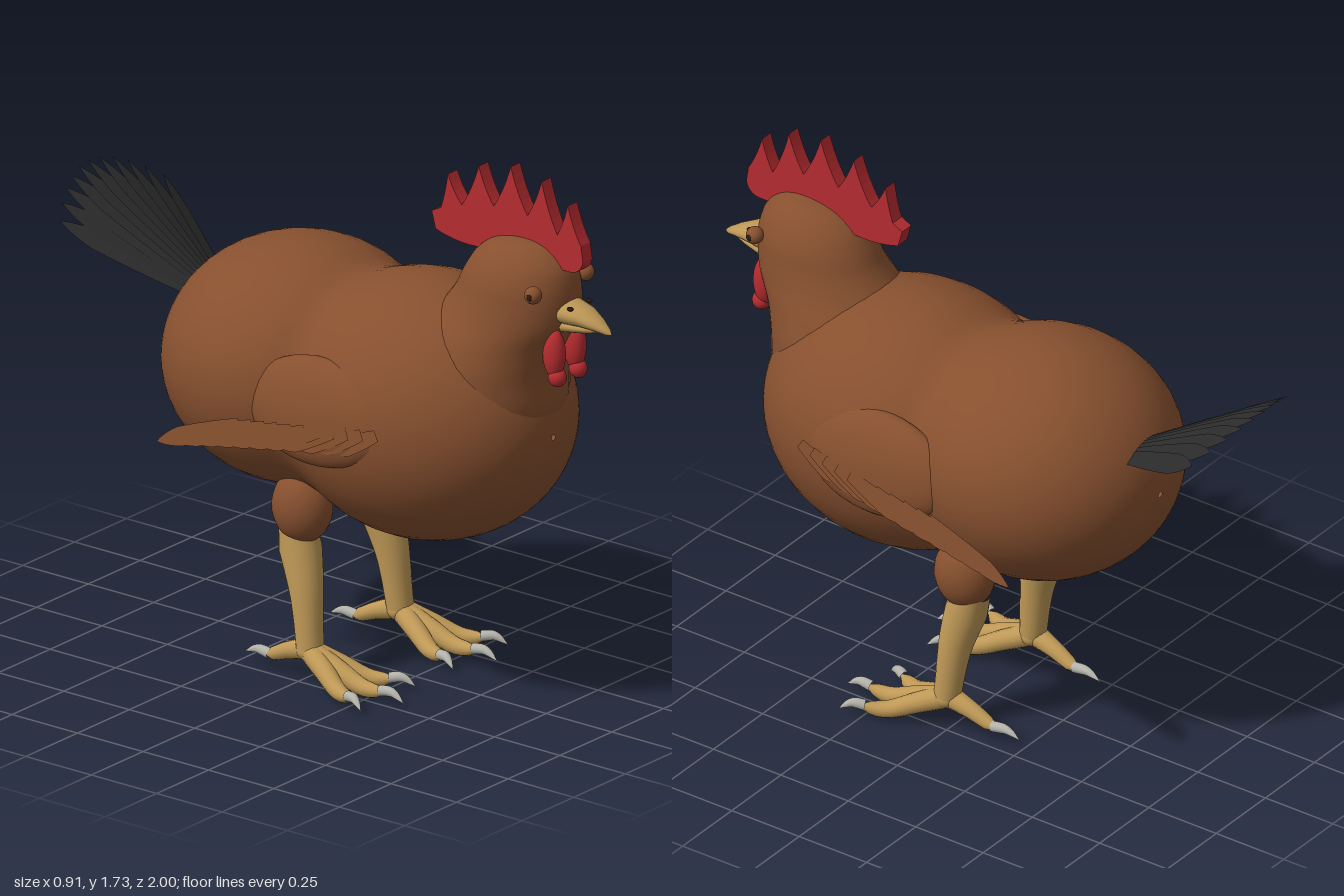
import * as THREE from 'three';

const V = (x, y, z) => new THREE.Vector3(x, y, z);
const material = (name, color, side = THREE.FrontSide) => {
  const m = new THREE.MeshStandardMaterial({ color, side });
  m.name = name;
  return m;
};

// Skin over a list of rings, each a list of Vector3 running round the section
function loft(rings) {
  const n = rings[0].length, index = [];
  for (let i = 0; i < rings.length - 1; i++)
    for (let j = 0; j < n; j++) {
      const a = i * n + j, b = i * n + (j + 1) % n;
      index.push(a, b, a + n, b, b + n, a + n);
    }
  const g = new THREE.BufferGeometry().setFromPoints(rings.flat());
  g.setIndex(index);
  g.computeVertexNormals();
  return g;
}
const angles = (n) => Array.from({ length: n }, (_, j) => (j / n) * Math.PI * 2);
// Section facing z: bottom, top, half width
const ringZ = (z, lo, hi, w, n = 48) => angles(n).map((a) =>
  V(w * Math.cos(a), (lo + hi) / 2 + (hi - lo) / 2 * Math.sin(a), z));
// Section facing y: back, front, half width
const ringY = (y, back, front, w, n = 40) => angles(n).map((a) =>
  V(w * Math.cos(a), y, (back + front) / 2 + (front - back) / 2 * Math.sin(a)));

// Tube along a curve whose radius follows a list of values
function taper(points, radii, seg = 14, sides = 14) {
  const curve = new THREE.CatmullRomCurve3(points);
  const g = new THREE.TubeGeometry(curve, seg, 1, sides);
  const p = g.attributes.position, nor = g.attributes.normal;
  for (let i = 0; i < p.count; i++) {
    const t = Math.floor(i / (sides + 1)) / seg, c = curve.getPointAt(t);
    const f = t * (radii.length - 1), k = Math.min(Math.floor(f), radii.length - 2);
    const r = THREE.MathUtils.lerp(radii[k], radii[k + 1], f - k);
    p.setXYZ(i, c.x + nor.getX(i) * r, c.y + nor.getY(i) * r, c.z + nor.getZ(i) * r);
  }
  return g;
}

// Flat pointed feather from root to tip
function feather(root, tip, width, facing) {
  const s = new THREE.Shape();
  s.moveTo(-0.3, 0);
  s.quadraticCurveTo(-0.5, 0.4, -0.5, 0.72);
  s.quadraticCurveTo(-0.35, 0.9, 0, 1);
  s.quadraticCurveTo(0.35, 0.9, 0.5, 0.72);
  s.quadraticCurveTo(0.5, 0.4, 0.3, 0);
  const dir = tip.clone().sub(root), len = dir.length();
  dir.normalize();
  const x = dir.clone().cross(facing).normalize(), z = x.clone().cross(dir);
  const g = new THREE.ShapeGeometry(s, 5);
  g.scale(width, len, 1);
  g.applyMatrix4(new THREE.Matrix4().makeBasis(x, dir, z).setPosition(root));
  return g;
}

export function createModel() {
  const brown = material('brown plumage', 0x87502f, THREE.DoubleSide);
  const black = material('black tail', 0x2b2b2b, THREE.DoubleSide);
  const red = material('red comb', 0xb62c30);
  const tan = material('tan beak and legs', 0xbe9856);
  const grey = material('grey claw', 0xb2b2aa);
  const dark = material('dark nostril', 0x2a1a12);

  const model = new THREE.Group();
  model.name = 'rooster';
  const add = (name, geo, mat, parent = model) => {
    const m = new THREE.Mesh(geo, mat);
    m.name = name;
    parent.add(m);
    return m;
  };
  const ball = (name, mat, pos, size, parent) => {
    const m = add(name, new THREE.SphereGeometry(1, 28, 20), mat, parent);
    m.position.copy(pos);
    m.scale.copy(size);
    return m;
  };

  // Body: breast and rump blended into one skin
  const smax = (a, b, k = 0.05) => {
    const h = Math.max(k - Math.abs(a - b), 0) / k;
    return Math.max(a, b) + h * h * k / 4;
  };
  const lobes = [{ z: 0.3, y: 0.9, rx: 0.41, ry: 0.412, rz: 0.477 },
    { z: -0.18, y: 0.935, rx: 0.42, ry: 0.38, rz: 0.43 }];
  const rings = [];
  for (let i = 0; i <= 60; i++) {
    const z = 0.0835 - 0.6934 * Math.cos((i / 60) * Math.PI);
    const val = (f) => smax(...lobes.map((l) => {
      const q = 1 - ((z - l.z) / l.rz) ** 2;
      return q < 0 ? -9 : f(l, Math.sqrt(q));
    }));
    rings.push(ringZ(z, -val((l, s) => l.ry * s - l.y), val((l, s) => l.y + l.ry * s), val((l, s) => l.rx * s)));
  }
  add('body', loft(rings), brown);

  // Neck and head, from the crown down
  const rows = [[1.528, 0.685, 0.695, 0.005], [1.52, 0.62, 0.745, 0.055], [1.5, 0.56, 0.79, 0.09],
    [1.457, 0.505, 0.833, 0.125], [1.4, 0.468, 0.85, 0.15], [1.34, 0.438, 0.852, 0.162],
    [1.27, 0.385, 0.84, 0.18], [1.19, 0.32, 0.802, 0.21], [1.1, 0.3, 0.779, 0.235],
    [0.98, 0.3, 0.772, 0.23], [0.85, 0.35, 0.7, 0.15]];
  const back = new THREE.CatmullRomCurve3(rows.map((r) => V(r[0], r[1], 0)));
  const front = new THREE.CatmullRomCurve3(rows.map((r) => V(r[0], r[2], r[3])));
  const neck = [];
  for (let i = 0; i <= 40; i++) {
    const b = back.getPoint(i / 40), f = front.getPoint(i / 40);
    neck.push(ringY((b.x + f.x) / 2, b.y, f.y, f.z));
  }
  add('neckAndHead', loft(neck), brown);

  // Comb: five-pointed plate, drawn as (z, y)
  const comb = new THREE.Shape();
  comb.moveTo(0.86, 1.457);
  comb.quadraticCurveTo(0.9, 1.46, 0.908, 1.5);
  comb.lineTo(0.9, 1.55);
  const points = [[0.85, 1.668, 0.81, 1.565], [0.75, 1.722, 0.696, 1.6], [0.632, 1.742, 0.567, 1.6],
    [0.51, 1.715, 0.445, 1.575], [0.392, 1.662, 0.365, 1.548]];
  let from = [0.9, 1.55];
  for (const [tz, ty, vz, vy] of points) {
    comb.quadraticCurveTo(from[0] * 0.4 + tz * 0.6, from[1] * 0.6 + ty * 0.4, tz, ty);
    comb.quadraticCurveTo(vz * 0.4 + tz * 0.6, vy * 0.6 + ty * 0.4, vz, vy);
    from = [vz, vy];
  }
  comb.lineTo(0.33, 1.53);
  comb.lineTo(0.345, 1.475);
  comb.quadraticCurveTo(0.42, 1.45, 0.5, 1.455);
  const combGeo = new THREE.ExtrudeGeometry(comb, { depth: 0.046, bevelEnabled: false, curveSegments: 6 });
  combGeo.translate(0, 0, -0.023);
  combGeo.rotateY(-Math.PI / 2);
  add('comb', combGeo, red);

  // Beak halves
  const beak = (r) => loft(r.map((q) => ringZ(...q, 20)));
  add('upperBeak', beak([[0.8, 1.285, 1.365, 0.058], [0.85, 1.285, 1.362, 0.061], [0.9, 1.288, 1.348, 0.051],
    [0.95, 1.284, 1.322, 0.032], [0.985, 1.277, 1.299, 0.014], [1, 1.28, 1.284, 0.001]]), tan);
  add('lowerBeak', beak([[0.8, 1.25, 1.31, 0.045], [0.855, 1.26, 1.305, 0.045], [0.91, 1.268, 1.3, 0.03],
    [0.96, 1.28, 1.295, 0.012], [0.97, 1.288, 1.29, 0.001]]), tan);

  // Tail: arched fan
  const tail = new THREE.Group();
  tail.name = 'tail';
  model.add(tail);
  for (let i = 0; i < 11; i++) {
    const u = i / 5 - 1;
    add('tailFeather', feather(V(u * 0.075, 1.1 - 0.02 * u * u, -0.545),
      V(u * 0.25, 1.37 - 0.1 * u * u, -1 + 0.09 * u * u), 0.075, V(u * 0.4 + 0.12, 0.85, 0.5)), black, tail);
  }

  for (const s of [1, -1]) {
    const side = new THREE.Group();
    side.name = s > 0 ? 'leftSide' : 'rightSide';
    model.add(side);

    // Face details
    ball('eye', brown, V(s * 0.127, 1.4, 0.8), V(0.027, 0.027, 0.027), side);
    ball('pupil', dark, V(s * 0.152, 1.4, 0.804), V(0.004, 0.01, 0.01), side);
    ball('nostril', dark, V(s * 0.046, 1.35, 0.878), V(0.008, 0.007, 0.01), side);
    ball('wattle', red, V(s * 0.05, 1.195, 0.82), V(0.031, 0.08, 0.037), side);
    ball('wattleTip', red, V(s * 0.05, 1.122, 0.832), V(0.027, 0.03, 0.029), side);

    // Wing: shoulder pad and overlapping flight feathers
    ball('wing', brown, V(s * 0.365, 0.95, 0.17), V(0.065, 0.165, 0.265), side).rotation.z = s * 0.2;
    for (let i = 0; i < 11; i++) {
      const t = i / 10, x = 0.412 + 0.03 * Math.sin(Math.min(1, t * 1.6) * Math.PI / 2);
      add('wingFeather', feather(V(s * x, 0.945 - 0.07 * t, 0.425 - 0.5 * t),
        V(s * (x + 0.012), 0.862 - 0.06 * t - 0.052 * t * t, 0.27 - 0.65 * t), 0.06, V(s, 0.15, 0.06)), brown, side);
    }

    // Leg
    ball('thigh', brown, V(s * 0.195, 0.55, -0.028), V(0.084, 0.115, 0.098), side);
    add('shank', taper([V(s * 0.19, 0.49, -0.055), V(s * 0.192, 0.46, -0.047), V(s * 0.207, 0.3, -0.005), V(s * 0.218, 0.11, 0.02)],
      [0.055, 0.066, 0.058, 0.05, 0.045, 0.042], 20, 20), tan, side);
    ball('ankle', tan, V(s * 0.218, 0.105, 0.02), V(0.043, 0.035, 0.04), side);

    // Toes (end x offset, end z), each with a curved claw
    for (const [dx, z] of [[-0.105, 0.265], [0.005, 0.315], [0.11, 0.265]]) {
      const at = (f, y) => V(s * (0.22 + dx * f), y, 0.02 + (z - 0.02) * f);
      add('toe', taper([at(0, 0.105), at(0.35, 0.07), at(0.7, 0.035), at(1, 0.038), at(1.03, 0.038)],
        [0.035, 0.034, 0.032, 0.03, 0.027, 0.023, 0]), tan, side);
      add('claw', taper([at(0.93, 0.042), at(1.08, 0.046), at(1.24, 0.02)], [0.017, 0.016, 0.01, 0]), grey, side);
    }
    add('backToe', taper([V(s * 0.218, 0.11, 0.02), V(s * 0.213, 0.085, -0.06), V(s * 0.208, 0.052, -0.14), V(s * 0.207, 0.05, -0.165)],
      [0.036, 0.032, 0.028, 0.025, 0.021, 0]), tan, side);
    add('backClaw', taper([V(s * 0.208, 0.052, -0.14), V(s * 0.206, 0.056, -0.19), V(s * 0.205, 0.036, -0.24)],
      [0.017, 0.016, 0.01, 0]), grey, side);
  }
  return model;
}
